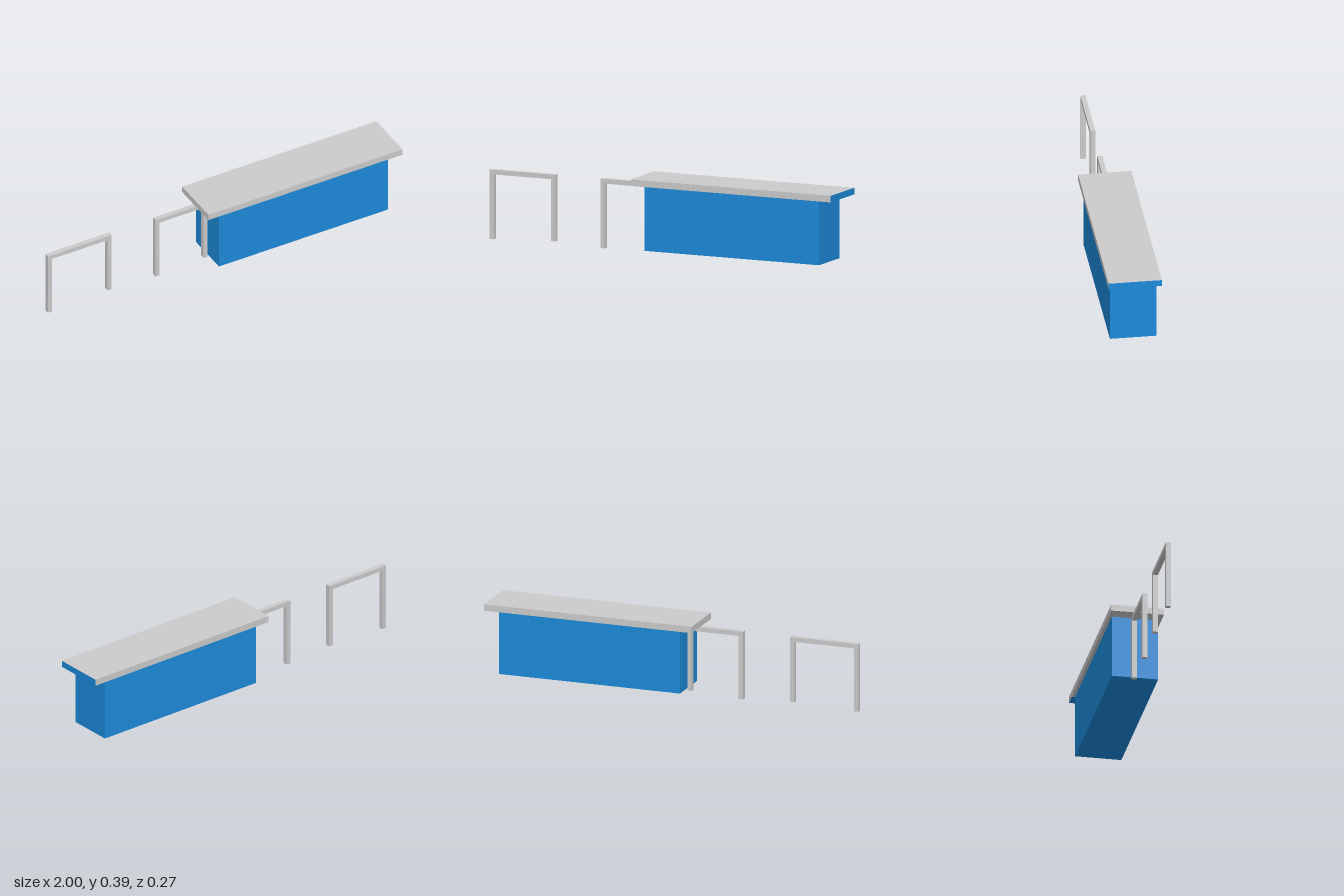
import * as THREE from 'three';

const grey = new THREE.MeshStandardMaterial({ color: 0xcccccc });
const blue = new THREE.MeshStandardMaterial({ color: 0x1c8ada });

// Box given by its lower and upper limits on each axis
function block(name, [x0, x1], [y0, y1], [z0, z1], material = grey) {
  const mesh = new THREE.Mesh(new THREE.BoxGeometry(x1 - x0, y1 - y0, z1 - z0), material);
  mesh.position.set((x0 + x1) / 2, (y0 + y1) / 2, (z0 + z1) / 2);
  mesh.name = name;
  return mesh;
}

// Square-section arch: a long outer leg, a slightly shorter inner leg and a top bar
function supportFrame(name, x0, x1) {
  const t = 0.024, z = [-0.02, 0.006], barY = 0.335, top = 0.359;
  const frame = new THREE.Group();
  frame.name = name;
  frame.add(
    block('longLeg', [x0, x0 + t], [0, barY], z),
    block('shortLeg', [x1 - t, x1], [0.015, barY], z),
    block('topBar', [x0, x1], [barY, top], z)
  );
  return frame;
}

export function createModel() {
  const model = new THREE.Group();
  model.name = 'counterWithFrames';

  // Blue cabinet, raised slightly off the floor
  model.add(block('cabinet', [-0.064, 0.925], [0.026, 0.359], [-0.12, 0.12], blue));

  // Countertop: grey, with a blue end face and a blue underside on the end overhang
  const top = new THREE.Group();
  top.name = 'countertop';
  const y = [0.359, 0.393], z = [-0.137, 0.137];
  top.add(
    block('countertopSlab', [-0.135, 0.925], y, z),
    block('countertopEnd', [0.925, 1], y, z, [blue, grey, grey, blue, grey, grey])
  );
  model.add(top);

  // Two free-standing frames in line with the cabinet
  model.add(supportFrame('outerFrame', -1, -0.627));
  model.add(supportFrame('innerFrame', -0.371, -0.066));

  return model;
}
